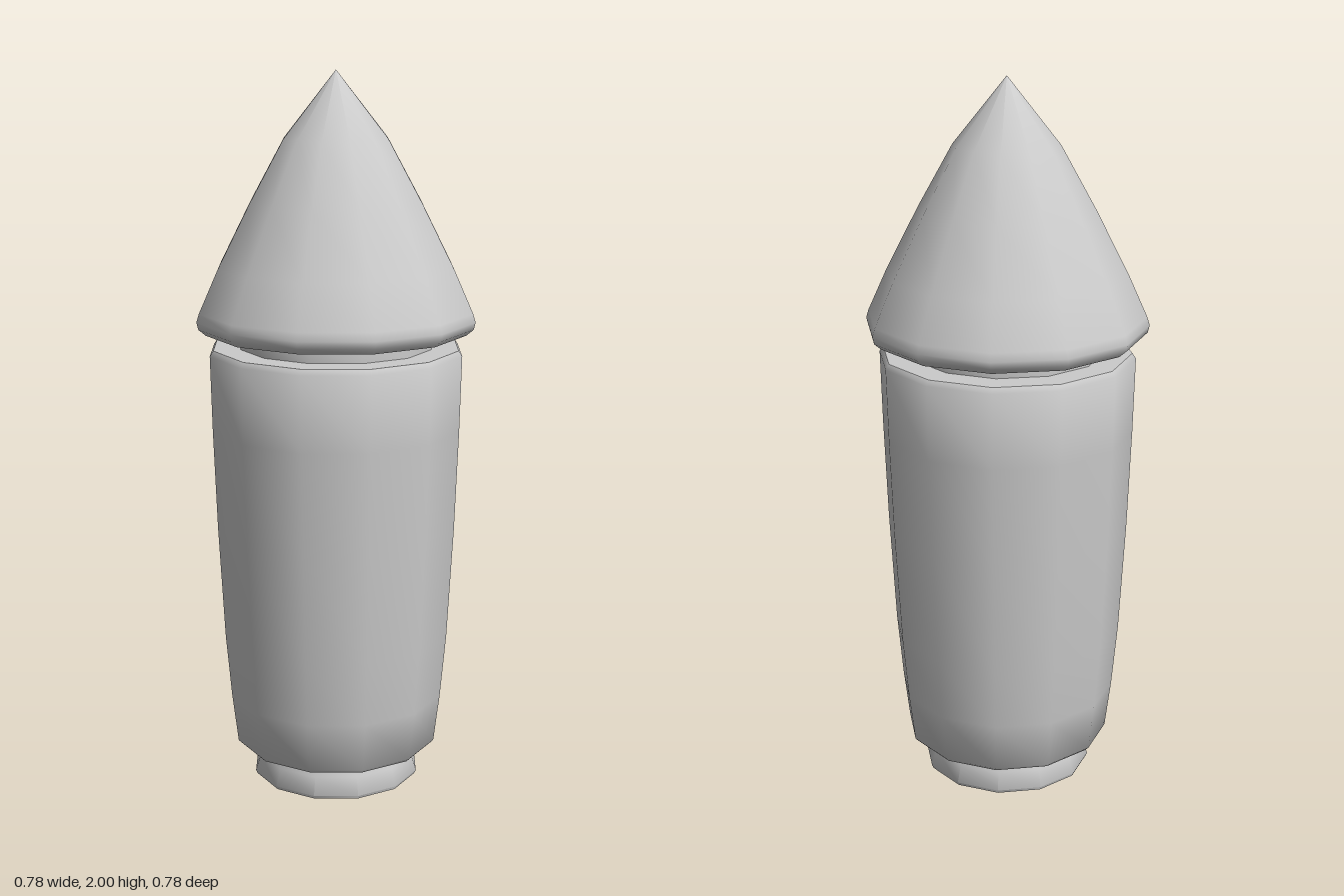
import * as THREE from 'three';
import { toCreasedNormals } from 'three/addons/utils/BufferGeometryUtils.js';

const SIDES = 12;

export function createModel() {
  const model = new THREE.Group();
  const material = new THREE.MeshStandardMaterial({ color: 0xcccccc });

  // Turned part: profile of [radius, height], running from underneath to the top
  function turned(name, profile) {
    const points = profile.map(([r, y]) => new THREE.Vector2(r, y));
    const geometry = toCreasedNormals(new THREE.LatheGeometry(points, SIDES), 0.87);
    const mesh = new THREE.Mesh(geometry, material);
    mesh.name = name;
    model.add(mesh);
  }

  // Flared foot with a shallow recess underneath
  turned('nozzle', [
    [0, 0.04], [0.18, 0.04], [0.185, 0.01], [0.195, 0], [0.235, 0],
    [0.24, 0.01], [0.225, 0.06], [0.21, 0.1],
  ]);

  // Long body, slightly barrelled, with small bevels at both ends
  turned('body', [
    [0.21, 0.1], [0.28, 0.1], [0.29, 0.11], [0.307, 0.25], [0.323, 0.43],
    [0.34, 0.75], [0.35, 1.03], [0.355, 1.24], [0.345, 1.255], [0.27, 1.255],
  ]);

  // Recessed collar between body and nose
  turned('neck', [[0.27, 1.255], [0.27, 1.29]]);

  // Pointed nose with a rounded lower rim
  turned('noseCone', [
    [0.27, 1.285], [0.32, 1.29], [0.365, 1.298], [0.385, 1.315], [0.39, 1.335],
    [0.383, 1.358], [0.33, 1.475], [0.24, 1.65], [0.145, 1.82], [0, 2],
  ]);

  return model;
}
